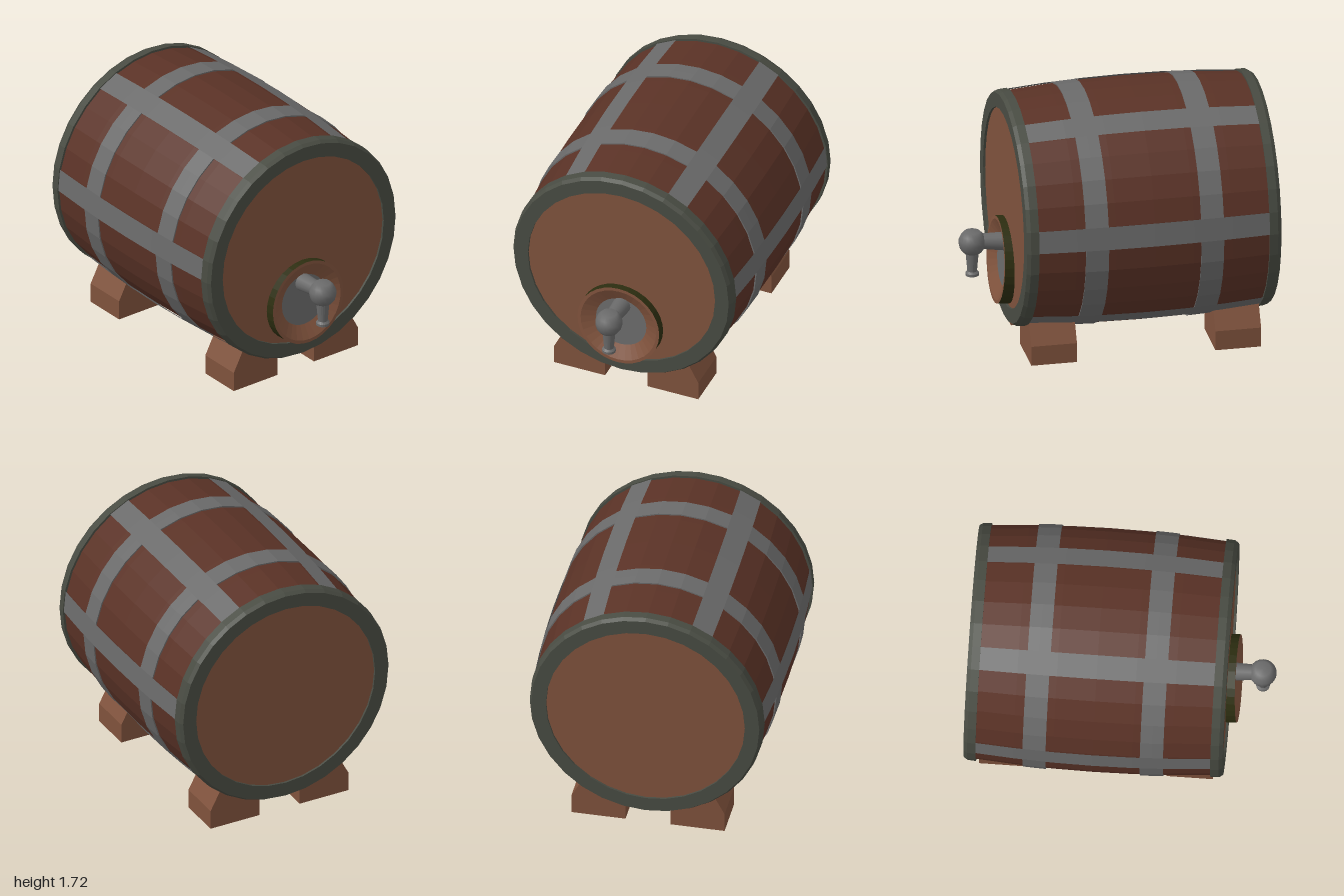
import * as THREE from 'three';

const mat = (name, color, side = THREE.FrontSide) => {
  const m = new THREE.MeshStandardMaterial({ color, side });
  m.name = name;
  return m;
};

export function createModel() {
  const stave = mat('dark stave wood', 0x5a3226);
  const wood = mat('light wood', 0x7f523c);
  const iron = mat('grey iron', 0x6a6a6a, THREE.DoubleSide);
  const rimIron = mat('green grey rim', 0x484b42);
  const olive = mat('dark olive', 0x2c2d10);

  const model = new THREE.Group();
  model.name = 'barrel';
  const SIDES = 32, STEP = Math.PI * 2 / SIDES;

  const add = (parent, name, geometry, material) => {
    const mesh = new THREE.Mesh(geometry, material);
    mesh.name = name;
    parent.add(mesh);
    return mesh;
  };
  const flat = (g) => {
    const f = g.index ? g.toNonIndexed() : g;
    f.computeVertexNormals();
    return f;
  };
  // Lathe around z; each point is [radius, z], phi measured from straight down
  const turned = (pts, sides = SIDES, start = 0, length = Math.PI * 2) =>
    new THREE.LatheGeometry(pts.map(([r, z]) => new THREE.Vector2(r, z)), sides, start, length)
      .rotateX(Math.PI / 2);

  // Cask, centred on its own axis
  const cask = new THREE.Group();
  cask.name = 'cask';
  cask.position.set(0, 0.915, -0.15);
  model.add(cask);

  const radius = (z) => 0.8 - 0.033 * (z / 0.77) ** 2;
  const profile = (z0, z1, n, lift) => {
    const pts = [];
    for (let i = 0; i <= n; i++) {
      const z = z0 + (z1 - z0) * i / n;
      pts.push([radius(z) + lift, z]);
    }
    return pts;
  };
  add(cask, 'staves', flat(turned(profile(-0.78, 0.78, 6, 0))), stave);

  // Hoops around the cask
  for (const s of [-1, 1]) {
    const a = s * 0.385 - 0.076, b = s * 0.385 + 0.076;
    add(cask, 'hoop', flat(turned([
      [radius(a) - 0.005, a], ...profile(a, b, 2, 0.008), [radius(b) - 0.005, b],
    ])), iron);
  }

  // Lengthwise straps, each one stave wide
  for (const k of [0, 5, 10, 15, 20, 27]) {
    add(cask, 'strap', flat(turned(profile(-0.78, 0.78, 6, 0.009), 1, (k + 8) * STEP, STEP)), iron);
  }

  // Rims and heads at both ends
  for (const turn of [0, Math.PI]) {
    const end = new THREE.Group();
    end.name = turn ? 'backEnd' : 'frontEnd';
    end.rotation.y = turn;
    cask.add(end);
    add(end, 'rim', flat(turned([
      [0.74, 0.77], [0.782, 0.77], [0.778, 0.825], [0.762, 0.85], [0.665, 0.85], [0.665, 0.82],
    ])), rimIron);
    add(end, 'head', new THREE.CircleGeometry(0.675, SIDES).translate(0, 0, 0.835), wood);
  }

  // Feet
  const footShape = new THREE.Shape([
    [0.15, 0], [0.512, 0], [0.512, 0.135], [0.435, 0.28], [0.15, 0.25],
  ].map(([x, y]) => new THREE.Vector2(x, y)));
  const footGeometry = new THREE.ExtrudeGeometry(footShape, { depth: 0.305, bevelEnabled: false });
  for (const z of [0.315, -0.915]) {
    add(model, 'leftFoot', footGeometry, wood).position.z = z;
    const right = add(model, 'rightFoot', footGeometry, wood);
    right.rotation.y = Math.PI;
    right.position.z = z + 0.305;
  }

  // Dished tap plate, leaning back a little
  const plate = new THREE.Group();
  plate.name = 'tapPlate';
  plate.position.set(0, 0.55, 0.752);
  plate.rotation.x = -0.06;
  model.add(plate);
  add(plate, 'plateEdge', flat(turned([[0.29, -0.11], [0.29, 0]])), olive);
  add(plate, 'plateDish', flat(turned([[0.29, 0], [0.268, 0], [0.175, -0.05]])), wood);
  add(plate, 'plateCentre', new THREE.CircleGeometry(0.185, SIDES).translate(0, 0.01, -0.048), iron);

  // Tap: pipe, ball and downward spout
  const tap = new THREE.Group();
  tap.name = 'tap';
  model.add(tap);
  const pipe = add(tap, 'pipe', new THREE.CylinderGeometry(0.048, 0.062, 0.2, 16).rotateX(Math.PI / 2), iron);
  pipe.position.set(0, 0.685, 0.79);
  pipe.rotation.x = -0.08;
  const ball = [[0, 0.765], [0.052, 0.765], [0.074, 0.742], [0.088, 0.71], [0.09, 0.685],
    [0.082, 0.65], [0.064, 0.624], [0.045, 0.612]];
  const spout = [[0.045, 0.63], [0.032, 0.485], [0.045, 0.472], [0.045, 0.455], [0, 0.455]];
  const upright = (pts) => new THREE.LatheGeometry(
    pts.slice().reverse().map(([r, y]) => new THREE.Vector2(r, y)), 20);
  add(tap, 'tapBall', upright(ball), iron).position.z = 0.91;
  add(tap, 'spout', flat(upright(spout)), iron).position.z = 0.91;

  return model;
}
